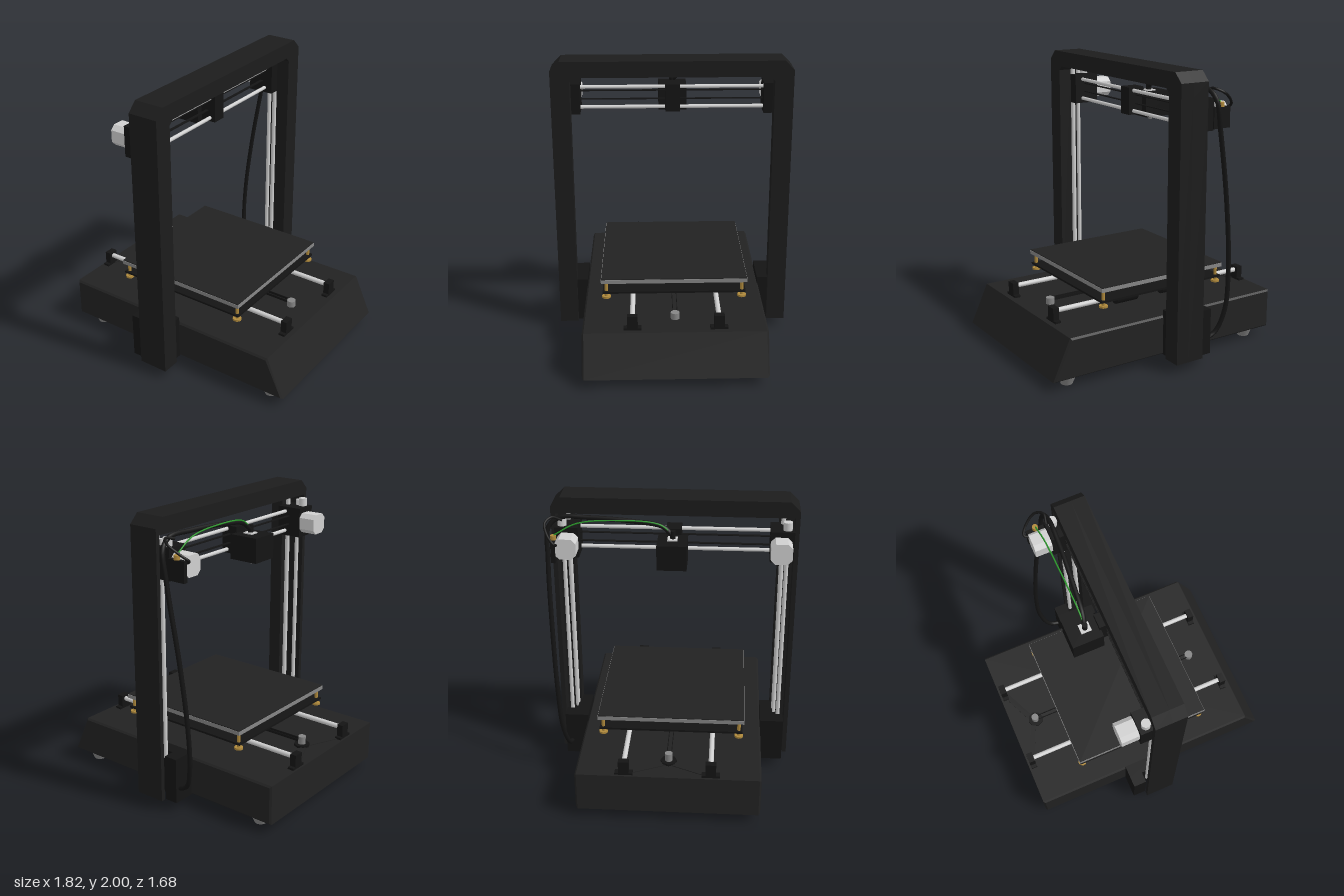
import * as THREE from 'three';

export function createModel() {
  const root = new THREE.Group();
  const model = new THREE.Group();
  model.name = 'printer';
  model.rotation.y = -0.027; // the whole machine stands slightly turned
  root.add(model);

  const mat = (name, color, side = THREE.FrontSide) => {
    const m = new THREE.MeshStandardMaterial({ color, side });
    m.name = name;
    return m;
  };
  const body = mat('charcoal body', 0x222222);
  const frame = mat('black frame', 0x1c1c1c);
  const black = mat('black plastic', 0x141414);
  const steel = mat('bright steel', 0xd0d0d0);
  const grey = mat('grey metal', 0x858585);
  const brass = mat('brass', 0xb08a3c);
  const green = mat('green filament', 0x2a9a2a);

  const add = (name, geo, m, x = 0, y = 0, z = 0) => {
    const mesh = new THREE.Mesh(geo, m);
    mesh.name = name;
    mesh.position.set(x, y, z);
    model.add(mesh);
    return mesh;
  };
  // Box given by its limits on each axis
  const box = (name, m, x0, x1, y0, y1, z0, z1) => add(name,
    new THREE.BoxGeometry(x1 - x0, y1 - y0, z1 - z0), m, (x0 + x1) / 2, (y0 + y1) / 2, (z0 + z1) / 2);
  const cyl = (name, m, r0, r1, h, x, y, z, sides = 20) =>
    add(name, new THREE.CylinderGeometry(r0, r1, h, sides), m, x, y, z);
  const tube = (name, m, r, pts) => add(name, new THREE.TubeGeometry(
    new THREE.CatmullRomCurve3(pts.map(p => new THREE.Vector3(...p))), 90, r, 8), m);
  const shape = pts => new THREE.Shape(pts.map(p => new THREE.Vector2(...p)));

  // Base with a sloping front end
  const b = 0.012;
  const baseGeo = new THREE.ExtrudeGeometry(
    shape([[-0.893 + b, 0.065 + b], [0.895 - b * 1.5, 0.065 + b], [0.768 - b, 0.345 - b], [-0.893 + b, 0.345 - b]]),
    { depth: 1.24 - 2 * b, bevelThickness: b, bevelSize: b, bevelSegments: 1 });
  add('base', baseGeo, body, 0, 0, -0.62 + b + 0.0075);

  // Feet
  for (const x of [-0.745, 0.745]) for (const z of [-0.515, 0.53])
    cyl('foot', grey, 0.068, 0.04, 0.067, x, 0.0335, z, 24);

  // Gantry: front part of the uprights and the top bar cut from one outline
  const zc = 0.009, W = 0.819, I = 0.69;
  const gantry = new THREE.ExtrudeGeometry(shape([
    [-W, 0.065], [-I, 0.065], [-I, 1.86], [-I + 0.03, 1.89], [I - 0.03, 1.89], [I, 1.86],
    [I, 0.065], [W, 0.065], [W, 1.935], [W - 0.065, 2], [-W + 0.065, 2], [-W, 1.935]]),
    { depth: 0.095, bevelEnabled: false });
  gantry.rotateY(Math.PI / 2);
  add('gantry', gantry, frame, -0.0225, 0, zc);
  const topBar = new THREE.ExtrudeGeometry(shape([
    [-W, 1.84], [-W + 0.03, 1.84], [-W + 0.03, 1.89], [W - 0.03, 1.89], [W - 0.03, 1.84],
    [W, 1.84], [W, 1.935], [W - 0.065, 2], [-W + 0.065, 2], [-W, 1.935]]),
    { depth: 0.1175, bevelEnabled: false });
  topBar.rotateY(Math.PI / 2);
  add('topBar', topBar, frame, -0.14, 0, zc);

  for (const s of [1, -1]) {
    const sb = (name, m, x0, x1, y0, y1, a, c) =>
      box(name, m, x0, x1, y0, y1, Math.min(s * a, s * c) + zc, Math.max(s * a, s * c) + zc);
    // Open channel of the upright with its vertical rods
    sb('uprightWall', frame, -0.14, -0.0225, 0.065, 1.84, W - 0.03, W);
    cyl('leadScrew', steel, 0.014, 0.014, 1.5, -0.118, 1.11, s * 0.745 + zc, 12);
    cyl('verticalRod', steel, 0.016, 0.016, 1.5, -0.055, 1.11, s * 0.715 + zc, 12);
    // Foot block joining the upright to the base
    sb('uprightBlock', black, -0.235, 0.045, 0.067, 0.388, 0.615, 0.705);
    sb('uprightBlockRear', black, -0.235, -0.141, 0.067, 0.388, 0.7, 0.78);
    // Bracket holding the cross rods, with motor behind it
    sb('crossBracket', black, -0.215, -0.03, 1.61, 1.82, 0.63, 0.785);
    cyl('screwCap', steel, 0.03, 0.03, 0.06, -0.165, 1.845, s * 0.74 + zc, 16);
    const motorGeo = new THREE.ExtrudeGeometry(shape([
      [-0.04, -0.07], [0.04, -0.07], [0.07, -0.04], [0.07, 0.04],
      [0.04, 0.07], [-0.04, 0.07], [-0.07, 0.04], [-0.07, -0.04]]),
      { depth: 0.12, bevelEnabled: false });
    motorGeo.rotateY(Math.PI / 2);
    add('motor', motorGeo, steel, -0.335, 1.715, s * 0.7 + zc);
  }

  // Cross rods and belt strands
  for (const y of [1.645, 1.787])
    cyl('crossRod', steel, 0.013, 0.013, 1.3, -0.09, y, zc, 12).rotation.x = Math.PI / 2;
  for (const y of [1.695, 1.755])
    box('crossBelt', black, -0.125, -0.105, y - 0.003, y + 0.003, -0.64, 0.65);

  // Carriage and print head
  box('carriage', black, -0.17, -0.05, 1.62, 1.81, -0.045, 0.055);
  box('printHead', black, -0.37, -0.16, 1.6, 1.77, -0.095, 0.1);
  box('headTopPlate', steel, -0.285, -0.215, 1.77, 1.778, -0.03, 0.035);
  cyl('nozzle', grey, 0.022, 0.012, 0.035, -0.265, 1.584, 0.005, 16);
  cyl('headFitting', black, 0.018, 0.018, 0.06, -0.25, 1.8, 0.005, 12);

  // Cable bundle and filament
  tube('cable', black, 0.016, [[-0.25, 1.8, 0], [-0.235, 1.85, -0.06], [-0.215, 1.875, -0.25],
    [-0.19, 1.885, -0.55], [-0.185, 1.88, -0.74], [-0.2, 1.82, -0.815], [-0.235, 1.6, -0.825],
    [-0.315, 1.1, -0.81], [-0.36, 0.65, -0.79], [-0.355, 0.36, -0.77], [-0.3, 0.2, -0.74], [-0.22, 0.16, -0.73]]);
  tube('cableLoop', black, 0.009, [[-0.21, 1.87, -0.72], [-0.2, 1.885, -0.79], [-0.25, 1.86, -0.83],
    [-0.33, 1.8, -0.8], [-0.36, 1.76, -0.76], [-0.3, 1.73, -0.74]]);
  tube('filament', green, 0.005, [[-0.25, 1.8, 0.005], [-0.252, 1.87, -0.08], [-0.258, 1.895, -0.35],
    [-0.265, 1.87, -0.62], [-0.272, 1.79, -0.77]]);
  box('feeder', black, -0.34, -0.21, 1.62, 1.76, -0.785, -0.755);
  cyl('feederGear', brass, 0.02, 0.02, 0.03, -0.275, 1.775, -0.775, 12);

  // Heated bed: grey plate with dark top, carrier below, springs and knobs
  const bx = -0.046, bz = 0.0075;
  box('bedPlate', grey, bx - 0.5, bx + 0.5, 0.553, 0.58, bz - 0.5, bz + 0.5);
  box('bedSurface', body, bx - 0.497, bx + 0.497, 0.58, 0.586, bz - 0.497, bz + 0.497);
  box('bedCarrier', black, bx - 0.495, bx + 0.495, 0.475, 0.489, bz - 0.49, bz + 0.49);
  for (const sx of [-1, 1]) for (const sz of [-1, 1]) {
    const x = bx + sx * 0.47, z = bz + sz * 0.465;
    cyl('bedSpring', brass, 0.012, 0.012, 0.11, x, 0.5, z, 10);
    cyl('bedKnob', brass, 0.03, 0.03, 0.014, x, 0.445, z, 12);
  }

  // Bed rods with end holders and sliding bearings
  for (const z of [-0.285, 0.292]) {
    cyl('bedRod', steel, 0.017, 0.017, 1.58, -0.078, 0.415, z, 12).rotation.z = Math.PI / 2;
    for (const x of [-0.857, 0.705]) {
      box('rodHolder', black, x - 0.022, x + 0.022, 0.345, 0.445, z - 0.035, z + 0.035);
      box('rodHolderFoot', black, x - 0.022, x + 0.022, 0.345, 0.36, z - 0.06, z + 0.06);
    }
    for (const x of [-0.24, 0.14]) {
      box('bearingBlock', black, x - 0.09, x + 0.09, 0.43, 0.476, z - 0.058, z + 0.058);
      cyl('bearing', black, 0.046, 0.046, 0.17, x, 0.412, z, 16).rotation.z = Math.PI / 2;
    }
  }

  // Bed belt, drive pulley and idler
  for (const z of [-0.012, 0.018])
    box('bedBelt', black, -0.71, 0.575, 0.372, 0.39, z, z + 0.004);
  cyl('driveBase', black, 0.055, 0.055, 0.015, -0.71, 0.352, 0.005, 8);
  cyl('drivePulley', grey, 0.026, 0.026, 0.06, -0.71, 0.385, 0.005, 16);
  cyl('idler', grey, 0.03, 0.03, 0.045, 0.57, 0.37, 0.005, 16);
  box('beltClamp', grey, -0.08, -0.03, 0.37, 0.476, -0.015, 0.01);
  // Raised ribs fanning from the drive
  for (const s of [-1, 1]) {
    const rib = box('driveRib', body, -0.17, 0.17, 0.344, 0.35, -0.02, 0.02);
    rib.position.set(-0.79, 0.347, 0.005 + s * 0.14);
    rib.rotation.y = s * 1.15;
    rib.scale.x = 0.8;
  }

  return root;
}
